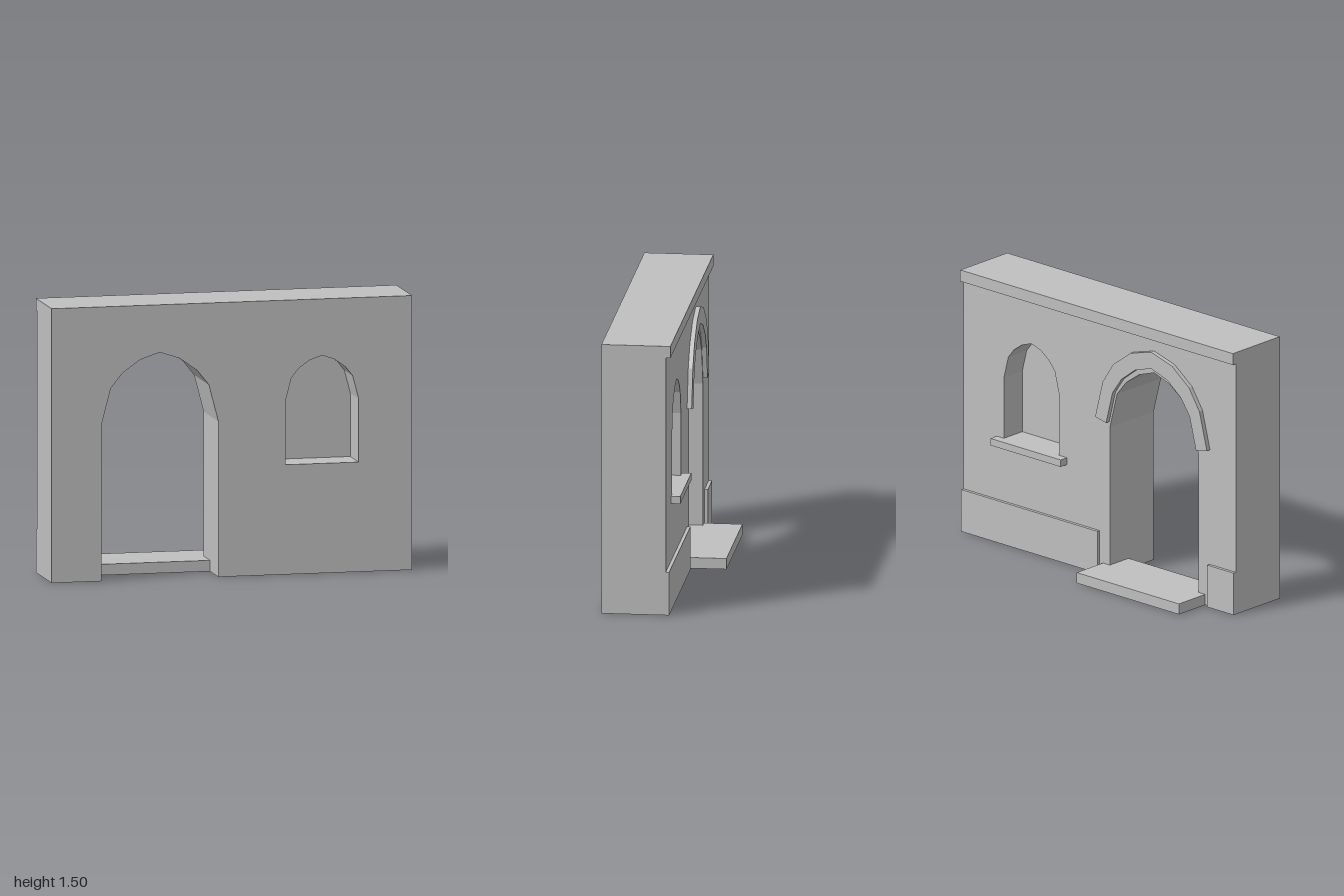
import * as THREE from 'three';

const stone = new THREE.MeshStandardMaterial({ color: 0xc0c0c0 });
stone.name = 'stone';

const BACK = -0.07, FRONT = 0.28, MIDDLE = 0.08; // z of wall faces and of the inner plane
const DOOR_X = -0.4, WINDOW_X = 0.5;

// Right half of a pointed arch, from springing to apex, as [x, y] offsets
const ARCH = [[0.325, 0], [0.272, 0.203], [0.207, 0.284], [0.11, 0.353], [0, 0.39]];

// Mirrors a half curve into a full curve running from right to left
function fullCurve(half, cx, cy = 0, s = 1) {
  const left = half.slice(0, -1).reverse().map(([x, y]) => [-x, y]);
  return [...half, ...left].map(([x, y]) => new THREE.Vector2(cx + x * s, cy + y * s));
}

export function createModel() {
  const group = new THREE.Group();

  const add = (name, geometry) => {
    const mesh = new THREE.Mesh(geometry, stone);
    mesh.name = name;
    group.add(mesh);
    return mesh;
  };
  const box = (name, x0, x1, y0, y1, z0, z1) => {
    const mesh = add(name, new THREE.BoxGeometry(x1 - x0, y1 - y0, z1 - z0));
    mesh.position.set((x0 + x1) / 2, (y0 + y1) / 2, (z0 + z1) / 2);
  };
  const extrude = (name, shape, z0, z1) => {
    const mesh = add(name, new THREE.ExtrudeGeometry(shape, { depth: z1 - z0, bevelEnabled: false }));
    mesh.position.z = z0;
  };

  // Wall with an arched doorway open to the ground and an arched window
  const doorArch = fullCurve(ARCH, DOOR_X, 0.85);
  const wall = new THREE.Shape([
    new THREE.Vector2(DOOR_X + 0.325, 0),
    new THREE.Vector2(1, 0), new THREE.Vector2(1, 1.5),
    new THREE.Vector2(-1, 1.5), new THREE.Vector2(-1, 0),
    new THREE.Vector2(DOOR_X - 0.325, 0),
    ...doorArch.reverse(),
  ]);
  wall.holes.push(new THREE.Path([
    new THREE.Vector2(WINDOW_X - 0.203, 0.6), new THREE.Vector2(WINDOW_X + 0.203, 0.6),
    ...fullCurve(ARCH, WINDOW_X, 0.947, 0.203 / 0.325),
  ]));
  extrude('wall', wall, BACK, FRONT);

  // Blind panel closing the window halfway through the wall
  box('windowPanel', 0.28, 0.72, 0.59, 1.21, MIDDLE - 0.003, MIDDLE + 0.003);

  // Hood moulding over the doorway
  const inner = [[0.33, 0.88], [0.283, 1.063], [0.219, 1.155], [0.118, 1.233], [0, 1.27]];
  const outer = [[0.41, 0.897], [0.355, 1.11], [0.278, 1.228], [0.15, 1.323], [0, 1.365]];
  extrude('hoodMoulding', new THREE.Shape([
    ...fullCurve(outer, DOOR_X), ...fullCurve(inner, DOOR_X).reverse(),
  ]), -0.095, BACK);

  // Raised trim on the back face
  box('cornice', -1, 1, 1.435, 1.5, -0.095, BACK);
  box('plinthLeft', 0, 1, 0, 0.24, -0.088, BACK);
  box('plinthRight', -1, -0.805, 0, 0.24, -0.088, BACK);
  box('windowSill', 0.24, 0.755, 0.56, 0.6, -0.12, BACK);

  // Doorstep: wide outside, narrowing to the doorway
  box('doorstep', -0.775, -0.025, 0, 0.06, -0.28, BACK);
  box('threshold', -0.725, -0.075, 0, 0.06, BACK, MIDDLE);

  return group;
}
